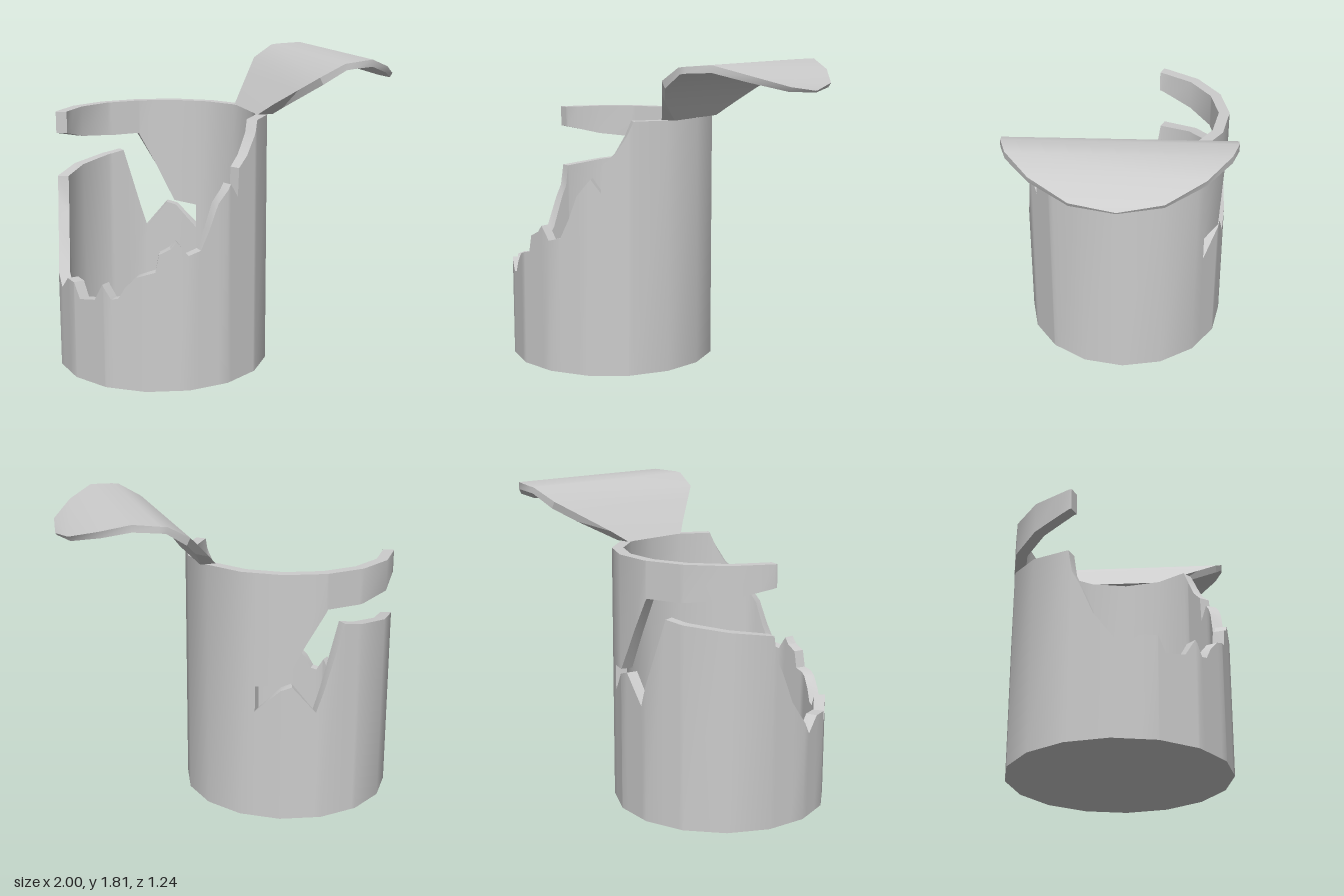
import * as THREE from 'three';
import { toCreasedNormals } from 'three/addons/utils/BufferGeometryUtils.js';

const CX = -0.38, OUTER = 0.62, INNER = 0.555, TOP = 1.475, STEP = 22.5;

// Point on a 16-sided ring; angle in degrees, 0 = front, 90 = +x
function ringPoint(deg, r, y) {
  const k = Math.floor(deg / STEP + 1e-6), t = deg / STEP - k;
  const a = THREE.MathUtils.degToRad(k * STEP), b = THREE.MathUtils.degToRad((k + 1) * STEP);
  return [
    CX + r * THREE.MathUtils.lerp(Math.sin(a), Math.sin(b), t),
    y,
    r * THREE.MathUtils.lerp(Math.cos(a), Math.cos(b), t),
  ];
}

// Height on a jagged edge given as [angle, height] points
function heightAt(edge, deg) {
  for (let i = 1; i < edge.length; i++) {
    const [a, ya] = edge[i - 1], [b, yb] = edge[i];
    if (deg <= b) return THREE.MathUtils.lerp(ya, yb, (deg - a) / (b - a));
  }
  return edge[edge.length - 1][1];
}

const quad = (out, a, b, c, d) => out.push(...a, ...b, ...c, ...a, ...c, ...d);

// Thick curved wall between a lower and an upper jagged edge
function addWall(out, low, high, endCap) {
  const start = low[0][0], end = low[low.length - 1][0];
  const angles = new Set([...low, ...high].map((p) => p[0]));
  for (let d = Math.ceil(start / STEP) * STEP; d < end; d += STEP) angles.add(d);
  const list = [...angles].sort((a, b) => a - b);
  const column = (d) => {
    const l = heightAt(low, d), h = heightAt(high, d);
    return { ol: ringPoint(d, OUTER, l), oh: ringPoint(d, OUTER, h), il: ringPoint(d, INNER, l), ih: ringPoint(d, INNER, h) };
  };
  for (let i = 1; i < list.length; i++) {
    const a = column(list[i - 1]), b = column(list[i]);
    quad(out, a.ol, b.ol, b.oh, a.oh);
    quad(out, b.il, a.il, a.ih, b.ih);
    quad(out, a.oh, b.oh, b.ih, a.ih);
    quad(out, a.il, b.il, b.ol, a.ol);
    if (endCap && i === list.length - 1) quad(out, b.ol, b.il, b.ih, b.oh);
  }
}

function toGeometry(points) {
  const g = new THREE.BufferGeometry();
  g.setAttribute('position', new THREE.Float32BufferAttribute(points, 3));
  return toCreasedNormals(g, 0.5);
}

export function createModel() {
  const group = new THREE.Group();
  const metal = new THREE.MeshStandardMaterial({ color: 0xcccccc });
  metal.name = 'grey metal';
  const add = (name, geometry) => {
    const mesh = new THREE.Mesh(geometry, metal);
    mesh.name = name;
    group.add(mesh);
  };

  // Torn wall: intact side, broken lower wall, and the rim band above the tear
  const brokenEdge = [
    [143, 0.66], [157, 0.8], [163, 0.82], [176, 0.66], [192, 1.17], [200, 1.155], [248, 1.09],
    [250, 0.96], [254, 0.88], [261, 0.7], [275, 0.49], [284, 0.57], [293, 0.57], [297, 0.48],
    [308, 0.5], [314, 0.6], [319, 0.52], [323, 0.53], [327, 0.6], [333, 0.66], [339, 0.68],
    [343, 0.69], [345, 0.79], [351, 0.82], [354, 0.86], [360, 0.78], [367, 0.8], [372, 0.91],
    [377, 1.05], [385, 1.15], [390.5, 1.07], [391.5, 1.23], [398, 1.29], [404, 1.39], [408, TOP],
  ];
  const rimEdge = [
    [143, 0.81], [158, 0.83], [170, 1.07], [181, 1.27], [200, 1.27], [225, 1.295], [240, 1.33], [249, 1.35],
  ];
  const wall = [];
  addWall(wall, [[48, 0], [143, 0]], [[48, TOP], [143, TOP]], true);
  addWall(wall, [[143, 0], [408, 0]], brokenEdge, false);
  addWall(wall, rimEdge, [[143, TOP], [249, TOP]], true);
  add('tornWall', toGeometry(wall));

  // Base plate
  const base = new THREE.CylinderGeometry(INNER, INNER, 0.065, 16);
  base.translate(CX, 0.0325, 0);
  add('base', base);

  // Peeled-back lid: [top x, top y, underside x, underside y, half width]
  const stations = [
    [0.14, 1.475, 0.23, 1.475, 0.225], [0.2, 1.54, 0.26, 1.52, 0.31], [0.3, 1.64, 0.32, 1.6, 0.46],
    [0.38, 1.72, 0.4, 1.68, 0.58], [0.51, 1.795, 0.52, 1.76, 0.62], [0.55, 1.8, 0.56, 1.765, 0.62],
    [0.69, 1.81, 0.69, 1.77, 0.58], [0.84, 1.755, 0.83, 1.72, 0.45],
    [0.97, 1.69, 0.955, 1.665, 0.24], [1, 1.66, 0.995, 1.65, 0.01],
  ].map(([tx, ty, bx, by, w]) => ({ tf: [tx, ty, w], tb: [tx, ty, -w], bf: [bx, by, w], bb: [bx, by, -w] }));
  const lid = [];
  for (let i = 1; i < stations.length; i++) {
    const a = stations[i - 1], b = stations[i];
    quad(lid, a.tf, b.tf, b.tb, a.tb);
    quad(lid, a.bb, b.bb, b.bf, a.bf);
    quad(lid, a.bf, b.bf, b.tf, a.tf);
    quad(lid, b.bb, a.bb, a.tb, b.tb);
  }
  const tip = stations[stations.length - 1];
  quad(lid, tip.bf, tip.bb, tip.tb, tip.tf);
  add('lid', toGeometry(lid));

  return group;
}
